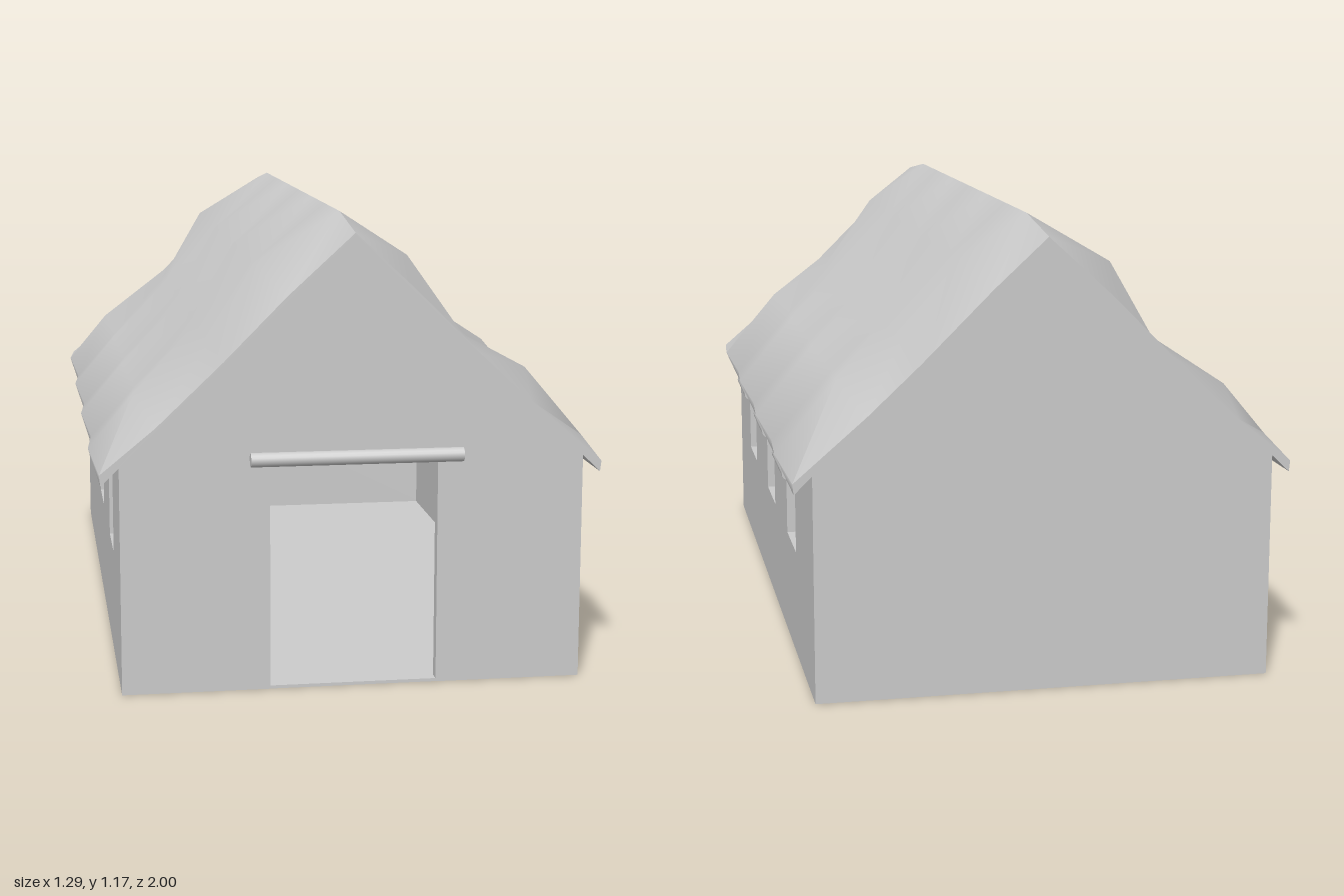
import * as THREE from 'three';
import { toCreasedNormals } from 'three/addons/utils/BufferGeometryUtils.js';

const mat = new THREE.MeshStandardMaterial({ color: 0xcccccc });
const BACK = -1, FRONT = 0.965, HALF = 0.58, WALL = 0.03;
const RIDGE = 1.135, EAVE_X = 0.625, EAVE_Y = 0.53;
const SLOPE = (RIDGE - EAVE_Y) / EAVE_X;
const underside = x => RIDGE - SLOPE * Math.abs(x);

function add(parent, name, geometry, x = 0, y = 0, z = 0) {
  const mesh = new THREE.Mesh(geometry, mat);
  mesh.name = name;
  mesh.position.set(x, y, z);
  parent.add(mesh);
  return mesh;
}

const polygon = pts => new THREE.Shape(pts.map(p => new THREE.Vector2(...p)));
const extrude = (shape, depth) => new THREE.ExtrudeGeometry(shape, { depth, bevelEnabled: false });

// Gable wall outline, optionally with a door opening reaching the ground
function gableShape(door) {
  const top = underside(HALF);
  const pts = [[HALF, 0], [HALF, top], [0, RIDGE], [-HALF, top], [-HALF, 0]];
  if (door) pts.push([-0.21, 0], [-0.21, 0.585], [0.21, 0.585], [0.21, 0]);
  return polygon(pts);
}

// Long wall drawn in (z, y) with square window holes
function sideWall(windows) {
  const z0 = BACK + WALL, z1 = FRONT - WALL, top = underside(HALF);
  const shape = polygon([[z0, 0], [z1, 0], [z1, top], [z0, top]]);
  for (const z of windows) {
    shape.holes.push(polygon([[z - 0.102, 0.28], [z - 0.102, 0.485], [z + 0.102, 0.485], [z + 0.102, 0.28]]));
  }
  // turn the drawing plane so that its x runs along +z
  return extrude(shape, WALL).rotateY(-Math.PI / 2);
}

// Thatched roof: rings of cross-section, swollen along the slope normal
function roofGeometry() {
  const SEG = 8;
  const len = Math.hypot(1, SLOPE), nx = SLOPE / len, ny = 1 / len;
  // [distance from ridge, swelling] from eave to ridge
  const rows = { 1: [[0.44, 0.07], [0.31, 0.035], [0.13, 0.065]], '-1': [[0.485, 0.065], [0.32, 0.04], [0.16, 0.085]] };
  const pos = [], idx = [];
  const ringSize = 18;

  for (let j = 0; j <= SEG; j++) {
    const z = THREE.MathUtils.lerp(BACK, FRONT, j / SEG);
    const end = j === 0 || j === SEG, odd = j % 2 === 1;
    const half = side => {
      const top = [odd ? [side * 0.645, 0.575] : [side * 0.628, 0.557]];
      const low = [[side * EAVE_X, EAVE_Y]];
      rows[side].forEach(([x, swell], i) => {
        const wave = end ? 0.1 : (odd === (i !== 1) ? 1 : 0.55);
        const n = swell * wave;
        top.push([side * (x + nx * n), underside(x) + ny * n]);
        low.push([side * x, underside(x)]);
      });
      return { top, low };
    };
    const a = half(1), b = half(-1);
    const top = [...a.top, [0, end ? RIDGE + 0.003 : 1.17], ...b.top.reverse()];
    const low = [...a.low, [0, RIDGE], ...b.low.reverse()];
    for (const [x, y] of [...top, ...low.reverse()]) pos.push(x, y, z);
  }

  const quad = (p, q, r, s) => idx.push(p, q, r, p, r, s);
  for (let j = 0; j < SEG; j++) {
    for (let k = 0; k < ringSize; k++) {
      const n = (k + 1) % ringSize, o = j * ringSize, o2 = o + ringSize;
      quad(o + k, o + n, o2 + n, o2 + k);
    }
  }
  // end caps between thatch and underside
  const f = SEG * ringSize;
  for (let k = 0; k < 8; k++) {
    quad(f + k, f + k + 1, f + 16 - k, f + 17 - k);
    quad(17 - k, 16 - k, k + 1, k);
  }

  const g = new THREE.BufferGeometry();
  g.setAttribute('position', new THREE.Float32BufferAttribute(pos, 3));
  g.setIndex(idx);
  return toCreasedNormals(g, 0.95);
}

export function createModel() {
  const model = new THREE.Group();
  model.name = 'barn';

  // Gable walls
  add(model, 'frontWall', extrude(gableShape(true), WALL), 0, 0, FRONT - WALL);
  add(model, 'backWall', extrude(gableShape(false), WALL), 0, 0, BACK);

  // Long walls with windows, each with a rolled pole above
  const windows = [0.535, -0.005, -0.52];
  const pole = (length) => new THREE.CylinderGeometry(0.018, 0.018, length, 16);
  for (const side of [1, -1]) {
    const group = new THREE.Group();
    group.name = side > 0 ? 'leftSide' : 'rightSide';
    add(group, 'sideWall', sideWall(windows), side > 0 ? HALF : -HALF + WALL);
    for (const z of windows) {
      add(group, 'windowPole', pole(0.25).rotateX(Math.PI / 2), side * 0.598, 0.498, z);
    }
    model.add(group);
  }

  // Floor
  const floorDepth = FRONT - BACK - 0.002;
  add(model, 'floor', new THREE.BoxGeometry(2 * HALF - 0.002, 0.008, floorDepth), 0, 0.004, (FRONT + BACK) / 2);

  // Pole over the door
  add(model, 'doorPole', pole(0.53).rotateZ(Math.PI / 2), 0.005, 0.588, 0.982);

  // Thatched roof
  add(model, 'roof', roofGeometry());

  return model;
}
